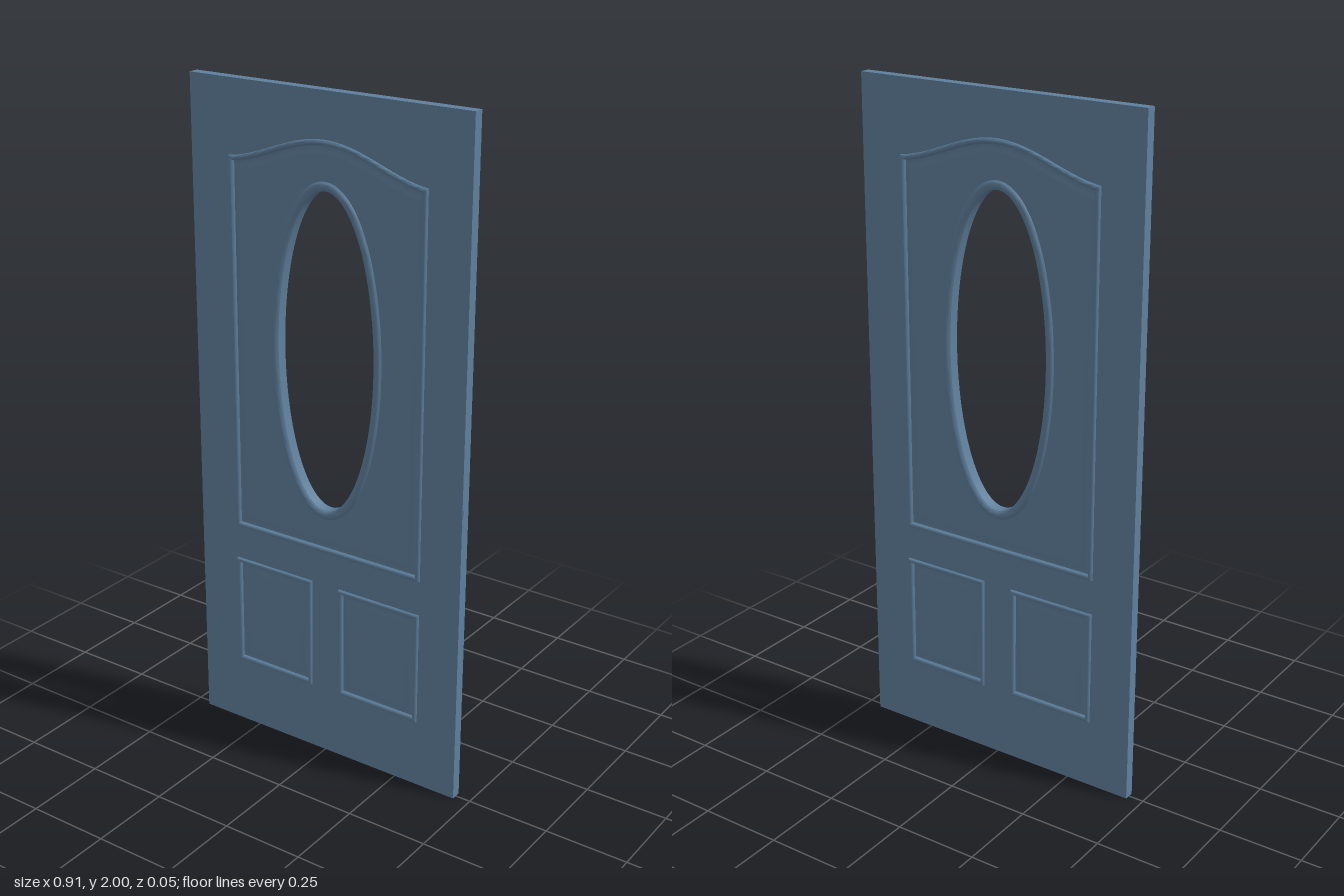
import * as THREE from 'three';
import { toCreasedNormals } from 'three/addons/utils/BufferGeometryUtils.js';

const H = 0.0157; // half thickness of the slab
const paint = new THREE.MeshStandardMaterial({ color: 0x5f7f9c });
const V = (x, y) => new THREE.Vector2(x, y);

// Mitred inward offset of a closed counter-clockwise outline
function inset(pts, d) {
  const n = pts.length;
  return pts.map((p, i) => {
    const a = p.clone().sub(pts[(i + n - 1) % n]).normalize();
    const b = pts[(i + 1) % n].clone().sub(p).normalize();
    const na = V(-a.y, a.x), nb = V(-b.y, b.x);
    return p.clone().addScaledVector(na.clone().add(nb), d / (1 + na.dot(nb)));
  });
}

// Sweep a moulding profile of [inset, height above face] around an outline
function moulding(name, pts, profile) {
  const n = pts.length, pos = [], index = [];
  for (const [d, h] of profile) for (const p of inset(pts, d)) pos.push(p.x, p.y, H + h);
  for (let r = 0; r < profile.length - 1; r++) {
    for (let j = 0; j < n; j++) {
      const k = (j + 1) % n;
      const a = r * n + j, b = r * n + k, c = b + n, e = a + n;
      index.push(a, b, c, a, c, e);
    }
  }
  const g = new THREE.BufferGeometry();
  g.setAttribute('position', new THREE.Float32BufferAttribute(pos, 3));
  g.setIndex(index);
  const mesh = new THREE.Mesh(toCreasedNormals(g, 0.7), paint);
  mesh.name = name;
  return mesh;
}

// Flat board of the slab's thickness with cut-outs
function board(name, pts, holes) {
  const shape = new THREE.Shape(pts);
  for (const h of holes) shape.holes.push(new THREE.Path(h));
  const g = new THREE.ExtrudeGeometry(shape, { depth: 2 * H, bevelEnabled: false });
  g.translate(0, 0, -H);
  const mesh = new THREE.Mesh(toCreasedNormals(g, 0.5), paint);
  mesh.name = name;
  return mesh;
}

const rect = (x0, x1, y0, y1) => [V(x0, y0), V(x1, y0), V(x1, y1), V(x0, y1)];

export function createModel() {
  const door = new THREE.Group();
  door.name = 'door';

  // Outlines: arched upper panel, two square lower panels, oval window
  const W = 0.323, upper = [V(-W, 0.665), V(W, 0.665)];
  for (let i = 0; i <= 40; i++) {
    const x = W - (2 * W * i) / 40;
    upper.push(V(x, 1.785 + 0.0425 * (1 + Math.cos((Math.PI * 0.9 * x) / W))));
  }
  const lowerLeft = rect(0.047, W, 0.21, 0.56);
  const lowerRight = rect(-W, -0.047, 0.21, 0.56);
  const oval = [];
  for (let i = 0; i < 96; i++) {
    const t = (i / 96) * Math.PI * 2;
    oval.push(V(0.16 * Math.cos(t), 1.265 + 0.467 * Math.sin(t)));
  }

  // Rounded bead, narrow groove, then a slope up to the raised field
  const panelProfile = [[0, 0], [0.002, 0.005], [0.006, 0.0073], [0.01, 0.0068], [0.014, 0.003],
    [0.016, -0.003], [0.019, -0.004], [0.032, -0.001], [0.04, 0]];
  const ovalProfile = [[-0.026, 0], [-0.023, 0.004], [-0.018, 0.0068], [-0.012, 0.0073],
    [-0.006, 0.0055], [-0.002, 0.002], [0, 0]];

  // Slab and panel fields
  door.add(board('slab', rect(-0.453, 0.453, 0, 2), [upper, lowerLeft, lowerRight]));
  door.add(board('upperField', inset(upper, 0.04), [oval]));
  door.add(board('leftField', inset(lowerLeft, 0.04), []));
  door.add(board('rightField', inset(lowerRight, 0.04), []));

  // Mouldings, the same on both faces
  for (const side of ['front', 'back']) {
    const face = new THREE.Group();
    face.name = side + 'Mouldings';
    face.add(moulding('upperMoulding', upper, panelProfile));
    face.add(moulding('leftMoulding', lowerLeft, panelProfile));
    face.add(moulding('rightMoulding', lowerRight, panelProfile));
    face.add(moulding('windowMoulding', oval, ovalProfile));
    if (side === 'back') face.rotation.y = Math.PI;
    door.add(face);
  }

  // Latch plate on the lock edge
  const latch = new THREE.Mesh(new THREE.BoxGeometry(0.002, 0.06, 0.024), paint);
  latch.name = 'latchPlate';
  latch.position.set(0.4525, 0.9, 0);
  door.add(latch);

  return door;
}
